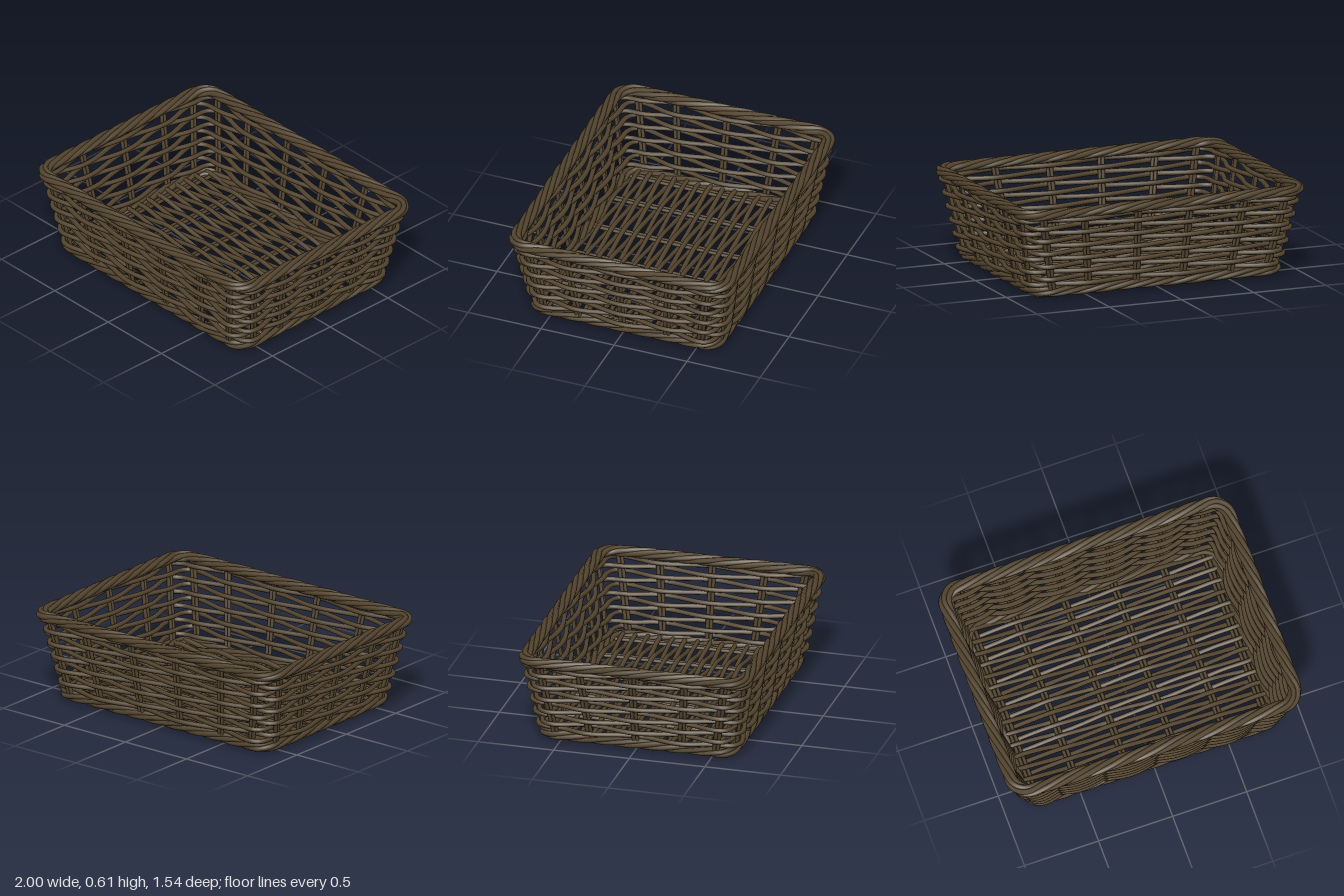
import * as THREE from 'three';
import { mergeGeometries } from 'three/addons/utils/BufferGeometryUtils.js';

const CORNER = 0.11;
const LONG = [-1, -0.66, -0.215, 0.215, 0.66, 1];   // upright positions along front and back
const SHORT = [-1, -0.57, 0, 0.57, 1];              // upright positions along the ends
const FLOOR_X = [-0.78, -0.5, -0.165, 0.165, 0.5, 0.78];

// the walls lean outwards with height
const halfX = (y) => 0.84 + 0.2 * y;
const halfZ = (y) => 0.63 + 0.17 * y;

let seed = 7;
const jitter = (a) => {
  seed = (seed * 16807) % 2147483647;
  return (seed / 2147483647 - 0.5) * 2 * a;
};

// a stop on the rounded rectangle: corner-relative position, normal angle and weave phase
function stop(side, t, turn, wave) {
  const a = side * Math.PI / 2;
  return {
    sx: Math.cos(a) * t + Math.sin(a),
    sz: -Math.sin(a) * t + Math.cos(a),
    a: a + turn, wave,
  };
}

// point at a stop, at height y, pushed outwards and sideways
function place(s, y, out = 0, along = 0) {
  const nx = Math.sin(s.a), nz = Math.cos(s.a), r = CORNER + out;
  return new THREE.Vector3(
    s.sx * (halfX(y) - CORNER) + nx * r + nz * along, y,
    s.sz * (halfZ(y) - CORNER) + nz * r - nx * along);
}

// walk round the basket once, alternating the weave at every upright
function makeRing() {
  const ring = [], uprights = [];
  let sign = 1;
  for (let side = 0; side < 4; side++) {
    const ts = side % 2 ? SHORT : LONG;
    ts.forEach((t, i) => {
      uprights.push(stop(side, t, 0, sign));
      const last = i === ts.length - 1, n = last ? 6 : 8;
      for (let k = 0; k < n; k++) {
        const f = k / n, wave = sign * Math.cos(Math.PI * f);
        ring.push(last ? stop(side, 1, f * Math.PI / 2, wave)
          : stop(side, t + (ts[i + 1] - t) * f, 0, wave));
      }
      sign = -sign;
    });
  }
  return { ring, uprights };
}

function cane(points, radius, segments, closed = false) {
  const curve = new THREE.CatmullRomCurve3(points, closed);
  curve.arcLengthDivisions = 500;
  return new THREE.TubeGeometry(curve, segments, radius, 6, closed);
}

// closes the cut ends of an open cane
function capped(points, radius, segments) {
  const ends = [points[0], points[points.length - 1]].map((p) => {
    const g = new THREE.SphereGeometry(radius, 6, 4);
    g.translate(p.x, p.y, p.z);
    return g;
  });
  return mergeGeometries([cane(points, radius, segments), ...ends]);
}

// several strands twisted round the ring
function rope(ring, y, inset, wide, tall, radius, strands, turns) {
  const base = ring.map((s) => place(s, y, inset));
  const dist = [0];
  base.forEach((p, i) => dist.push(dist[i] + p.distanceTo(base[(i + 1) % base.length])));
  const total = dist[base.length];
  const parts = [];
  for (let k = 0; k < strands; k++) {
    const pts = ring.map((s, i) => {
      const a = Math.PI * 2 * (turns * dist[i] / total + k / strands);
      const p = place(s, y, inset + Math.cos(a) * wide);
      p.y += Math.sin(a) * tall;
      return p;
    });
    parts.push(cane(pts, radius, 280, true));
  }
  return mergeGeometries(parts);
}

export function createModel() {
  const group = new THREE.Group();
  const wicker = new THREE.MeshStandardMaterial({ color: 0x54452f });
  wicker.name = 'dark brown wicker';
  const add = (name, geometry) => {
    const mesh = new THREE.Mesh(geometry, wicker);
    mesh.name = name;
    group.add(mesh);
  };
  const { ring, uprights } = makeRing();

  // twisted borders
  add('rimBraid', rope(ring, 0.573, 0, 0.027, 0.019, 0.018, 5, 9));
  add('baseBraid', rope(ring, 0.045, -0.008, 0.021, 0.019, 0.017, 4, 9));

  // wall weavers, in and out of the uprights
  const rows = [];
  for (let i = 0; i < 11; i++) {
    const y = 0.09 + i * 0.0438, dir = i % 2 ? -1 : 1;
    const pts = ring.map((s) => place(s, y, dir * s.wave * 0.026));
    rows.push(cane(pts, 0.0165, 260, true));
  }
  add('wallWeavers', mergeGeometries(rows));

  // paired uprights
  const stakes = [];
  for (const s of uprights) {
    for (const along of [-0.0125, 0.0125]) {
      stakes.push(capped([0.04, 0.3, 0.57].map((y) => place(s, y, 0, along)), 0.0125, 6));
    }
  }
  add('wallUprights', mergeGeometries(stakes));

  // paired floor ribs running front to back
  const ribs = [];
  for (const x of FLOOR_X) {
    for (const dx of [-0.0125, 0.0125]) {
      const pts = [-0.63, 0, 0.63].map((z) => new THREE.Vector3(x + dx, 0.04, z));
      ribs.push(capped(pts, 0.0125, 8));
    }
  }
  add('floorRibs', mergeGeometries(ribs));

  // floor weavers, over and under the ribs
  const floor = [];
  const count = 30;
  for (let i = 0; i < count; i++) {
    const z = -0.595 + 1.19 * i / (count - 1);
    const dir = i % 2 ? -1 : 1;
    const pts = [new THREE.Vector3(-0.82, 0.04 + dir * 0.02, z)];
    FLOOR_X.forEach((x, k) => {
      const wave = dir * (k % 2 ? -1 : 1) * 0.022;
      const drift = jitter(0.004);
      pts.push(new THREE.Vector3(x, 0.04 + wave, z + drift));
      if (k < 5) pts.push(new THREE.Vector3((x + FLOOR_X[k + 1]) / 2, 0.04, z + drift));
    });
    pts.push(new THREE.Vector3(0.82, 0.04 - dir * 0.02, z));
    floor.push(capped(pts, 0.0155, 40));
  }
  add('floorWeavers', mergeGeometries(floor));

  return group;
}
